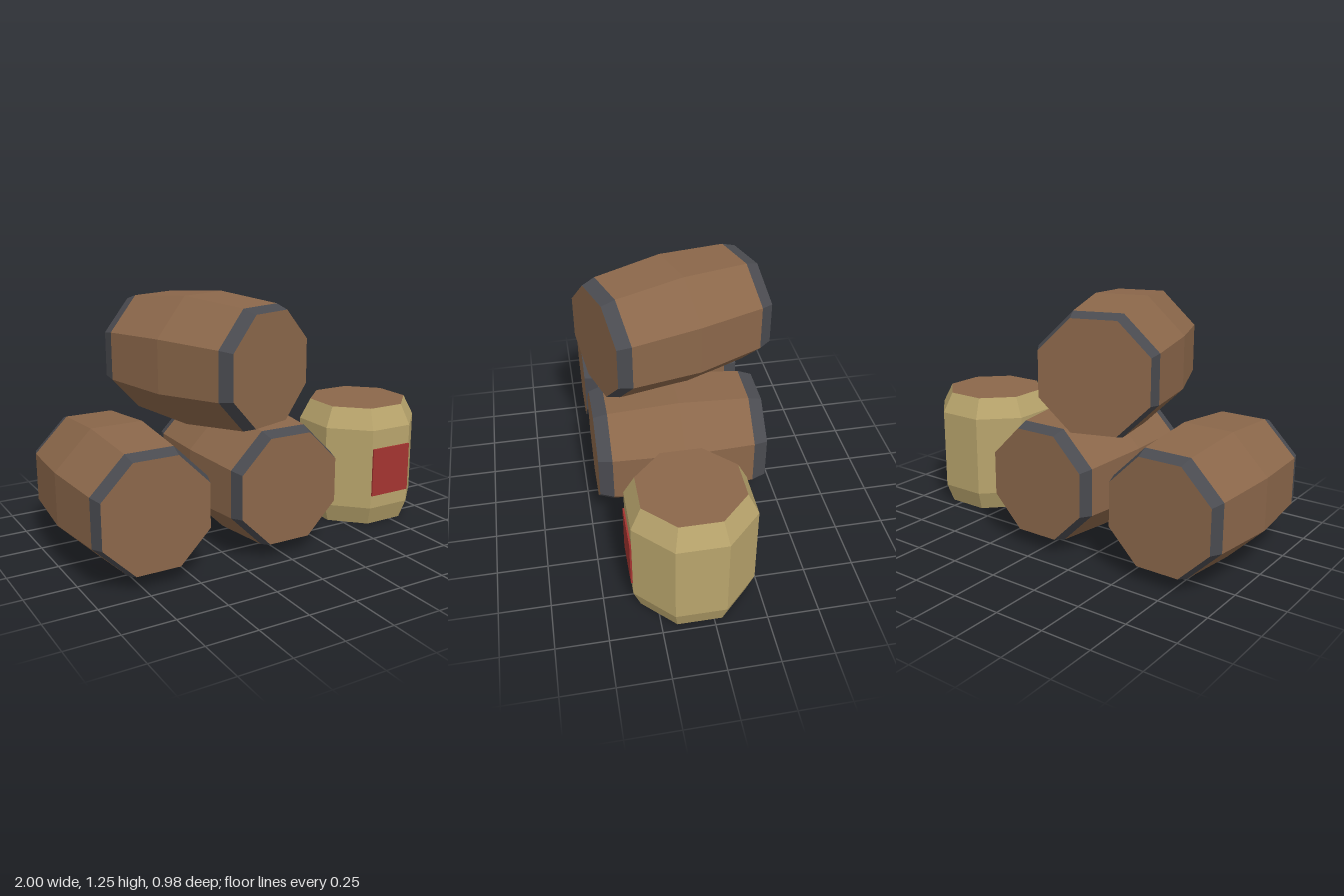
import * as THREE from 'three';

const SIDES = 8;
// Lathe radius that gives the wanted flat-to-flat half width
const toCorner = (halfWidth) => halfWidth / Math.cos(Math.PI / SIDES);

function makeMaterial(name, color, side = THREE.FrontSide) {
  const m = new THREE.MeshStandardMaterial({ color, flatShading: true, side });
  m.name = name;
  return m;
}

// Eight-sided lathe with flats facing the axes; profile is [half width, height]
function makeTurned(name, profile, material) {
  const points = profile.map(([r, y]) => new THREE.Vector2(toCorner(r), y));
  const geometry = new THREE.LatheGeometry(points, SIDES, Math.PI / SIDES).toNonIndexed();
  geometry.computeVertexNormals();
  const mesh = new THREE.Mesh(geometry, material);
  mesh.name = name;
  return mesh;
}

// Barrel on its side, ends facing front and back
function makeLyingBarrel(name, wood, iron) {
  const barrel = new THREE.Group();
  barrel.name = name;
  const end = 0.43, hoop = 0.36, rEnd = 0.265, rHoop = 0.287, rBelly = 0.315;
  barrel.add(
    makeTurned('staves', [[rHoop, -hoop], [rBelly, 0], [rHoop, hoop]], wood),
    makeTurned('frontHoop', [[rHoop, hoop], [rEnd, end]], iron),
    makeTurned('backHoop', [[rEnd, -end], [rHoop, -hoop]], iron),
    makeTurned('frontLid', [[rEnd, end], [0, end]], wood),
    makeTurned('backLid', [[0, -end], [rEnd, -end]], wood),
  );
  barrel.rotation.order = 'YXZ';
  barrel.rotation.x = Math.PI / 2;
  return barrel;
}

export function createModel() {
  const model = new THREE.Group();
  model.name = 'barrelStack';
  const wood = makeMaterial('brownWood', 0x8b674a);
  const iron = makeMaterial('darkIron', 0x4a4b50);
  const tan = makeMaterial('paleTan', 0xb8a46c, THREE.DoubleSide);
  const red = makeMaterial('redLabel', 0xa43430);

  // Three lying barrels: two on the ground, one turned on top
  const layout = [
    ['outerBarrel', -0.685, 0.345, 0.02, 0],
    ['innerBarrel', 0.015, 0.345, 0.02, 0],
    ['topBarrel', -0.2, 0.93, -0.005, Math.PI / 10],
  ];
  for (const [name, x, y, z, turn] of layout) {
    const barrel = makeLyingBarrel(name, wood, iron);
    barrel.position.set(x, y, z);
    barrel.rotation.y = turn;
    model.add(barrel);
  }

  // Upright keg, open underneath
  const keg = new THREE.Group();
  keg.name = 'uprightKeg';
  keg.add(
    makeTurned('kegWall', [[0.258, 0], [0.293, 0.1], [0.293, 0.525], [0.242, 0.63]], tan),
    makeTurned('kegLid', [[0.242, 0.63], [0, 0.63]], wood),
  );
  // Thin label on the front flat
  const label = new THREE.Mesh(new THREE.BoxGeometry(0.236, 0.256, 0.009), red);
  label.name = 'kegLabel';
  label.position.set(0, 0.298, 0.297);
  keg.add(label);
  keg.position.set(0.707, 0, 0.069);
  model.add(keg);

  return model;
}
